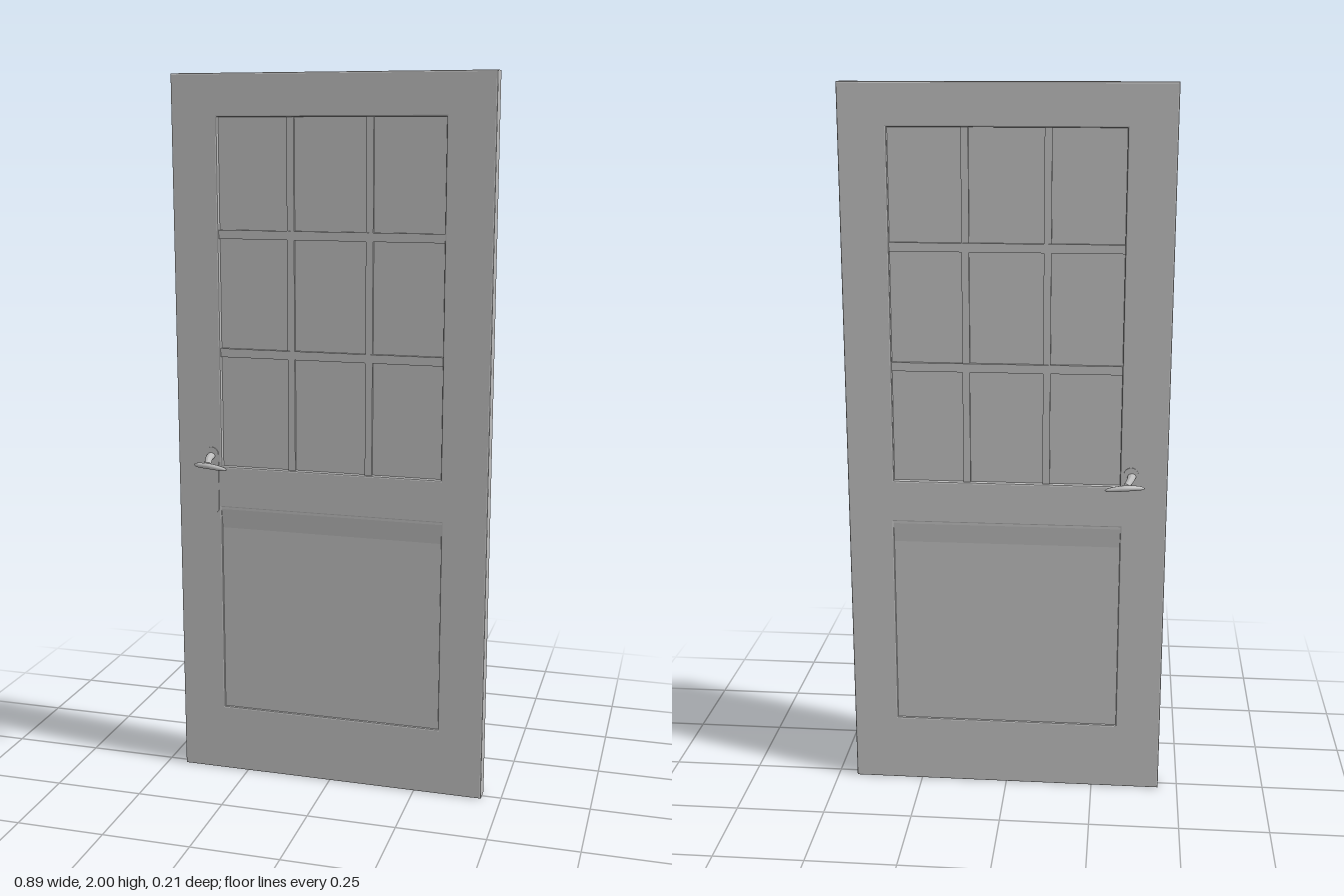
import * as THREE from 'three';

const FRONT = 0.022, BACK = -0.03, MID = (FRONT + BACK) / 2;

function rect(Type, x0, y0, x1, y1) {
  const p = new Type();
  p.moveTo(x0, y0); p.lineTo(x1, y0); p.lineTo(x1, y1); p.lineTo(x0, y1); p.closePath();
  return p;
}

// Tube with a radius that varies along its length
function taperedTube(points, radiusAt, squashY = 1) {
  const curve = new THREE.CatmullRomCurve3(points.map(p => new THREE.Vector3(...p)));
  const n = 24, sides = 12;
  const geo = new THREE.TubeGeometry(curve, n, 1, sides);
  const pos = geo.attributes.position, v = new THREE.Vector3();
  for (let i = 0; i <= n; i++) {
    const c = curve.getPointAt(i / n), r = radiusAt(i / n);
    for (let j = 0; j <= sides; j++) {
      const k = i * (sides + 1) + j;
      v.fromBufferAttribute(pos, k).sub(c).multiplyScalar(r);
      v.y *= squashY;
      v.add(c);
      pos.setXYZ(k, v.x, v.y, v.z);
    }
  }
  geo.computeVertexNormals();
  return geo;
}

export function createModel() {
  const door = new THREE.Group();
  door.name = 'door';
  const grey = new THREE.MeshStandardMaterial({ color: 0xbcbcbc });
  grey.name = 'grey';
  const add = (name, geo, x = 0, y = 0, z = 0) => {
    const m = new THREE.Mesh(geo, grey);
    m.name = name;
    m.position.set(x, y, z);
    door.add(m);
    return m;
  };

  // Frame with a window opening above and a panel opening below
  const outline = rect(THREE.Shape, -0.445, 0, 0.445, 2);
  outline.holes.push(rect(THREE.Path, -0.315, 0.92, 0.315, 1.885));
  outline.holes.push(rect(THREE.Path, -0.318, 0.195, 0.318, 0.8));
  const bevel = 0.004;
  add('frame', new THREE.ExtrudeGeometry(outline, {
    depth: FRONT - BACK - 2 * bevel, bevelThickness: bevel, bevelSize: bevel,
    bevelOffset: -bevel, bevelSegments: 2,
  }), 0, 0, BACK + bevel);

  // Lower panel, shallowly recessed and sloping out to the rail at its top
  const d = 0.006;
  const profile = new THREE.Shape([
    [BACK + d, 0.19], [FRONT - d, 0.19], [FRONT - d, 0.74], [FRONT - 0.001, 0.795],
    [FRONT - 0.001, 0.81], [BACK + 0.001, 0.81], [BACK + 0.001, 0.795], [BACK + d, 0.74],
  ].map(p => new THREE.Vector2(...p)));
  const panel = add('lowerPanel',
    new THREE.ExtrudeGeometry(profile, { depth: 0.64, bevelEnabled: false }), 0.32);
  panel.rotation.y = -Math.PI / 2;

  // Window pane and the bars dividing it into nine
  add('windowPane', new THREE.BoxGeometry(0.64, 0.98, 0.024), 0, 1.4025, MID);
  for (const x of [-0.11, 0.11])
    add('verticalBar', new THREE.BoxGeometry(0.02, 0.97, 0.04), x, 1.4025, MID);
  for (const y of [1.245, 1.572])
    add('horizontalBar', new THREE.BoxGeometry(0.635, 0.024, 0.043), 0, y, MID);

  // Lever handle and plate on each face
  for (const s of [1, -1]) {
    const face = s > 0 ? FRONT : BACK;
    const side = s > 0 ? 'front' : 'back';

    const w = 0.02, plate = new THREE.Shape();
    plate.absarc(0, 0.955, w, 0, Math.PI);
    plate.absarc(0, 0.8, w, Math.PI, 2 * Math.PI);
    plate.closePath();
    add(side + 'HandlePlate', new THREE.ExtrudeGeometry(plate, {
      depth: 0.004, bevelEnabled: false, curveSegments: 10,
    }), -0.345, 0, s > 0 ? face - 0.001 : face - 0.003);

    add(side + 'HandleStem', taperedTube(
      [[-0.347, 0.95, face], [-0.343, 0.948, face + s * 0.03], [-0.333, 0.94, s * 0.09]],
      t => 0.012 - 0.003 * t, 0.8));

    const path = s > 0
      ? [[-0.38, 0.932, 0.066], [-0.362, 0.935, 0.082], [-0.325, 0.936, 0.094], [-0.274, 0.93, 0.098]]
      : [[-0.383, 0.932, -0.08], [-0.36, 0.935, -0.088], [-0.325, 0.936, -0.098], [-0.274, 0.93, -0.102]];
    add(side + 'HandleLever', taperedTube(path,
      t => 0.0005 + 0.0095 * Math.pow(Math.sin(Math.PI * t), 0.4), 0.8));
  }
  return door;
}
